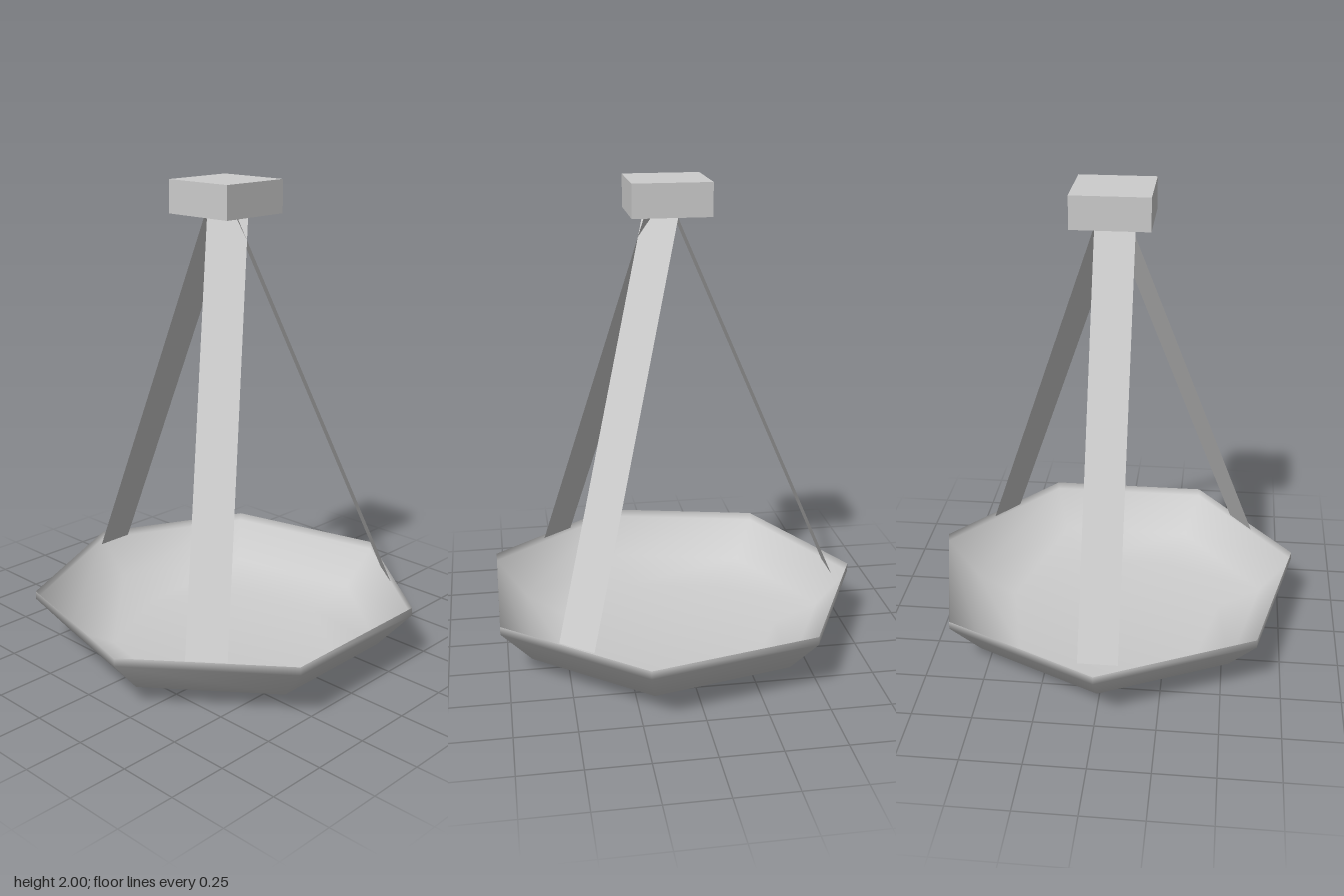
import * as THREE from 'three';

export function createModel() {
  const model = new THREE.Group();
  const grey = new THREE.MeshStandardMaterial({ color: 0xcccccc, side: THREE.DoubleSide });
  const centreZ = 0.04;

  const add = (name, geometry) => {
    const mesh = new THREE.Mesh(geometry, grey);
    mesh.name = name;
    model.add(mesh);
    return mesh;
  };

  // Seven-sided shallow pan: a thin smooth shell with one corner at the back
  const profile = [[0, 0], [0.49, 0], [0.68, 0.075], [0.82, 0.23], [0.82, 0.265]]
    .map(([r, y]) => new THREE.Vector2(r, y));
  add('pan', new THREE.LatheGeometry(profile, 7, Math.PI)).position.z = centreZ;

  // Square block at the top
  add('topBlock', new THREE.BoxGeometry(0.32, 0.135, 0.32)).position.set(0, 1.9325, centreZ);

  // Flat strap between two centre points, with a level width direction
  const strap = (name, bottom, top, across) => {
    const half = new THREE.Vector3(...across).normalize().multiplyScalar(0.082);
    const a = new THREE.Vector3(...bottom);
    const b = new THREE.Vector3(...top);
    const corners = [
      a.clone().sub(half), a.clone().add(half), b.clone().add(half), b.clone().sub(half),
    ];
    const geometry = new THREE.BufferGeometry().setFromPoints(corners);
    geometry.setIndex([0, 1, 2, 0, 2, 3]);
    geometry.computeVertexNormals();
    add(name, geometry);
  };

  // Three hanging straps, each with its outer side facing away from the middle
  strap('backStrap', [-0.008, 0.255, -0.684], [-0.008, 1.88, 0.017], [-1, 0, 0]);
  strap('leftStrap', [0.565, 0.258, 0.486], [0.012, 1.88, 0.062], [0.1, 0, -0.13]);
  strap('rightStrap', [-0.565, 0.258, 0.486], [-0.012, 1.88, 0.062], [0.1, 0, 0.13]);

  return model;
}
